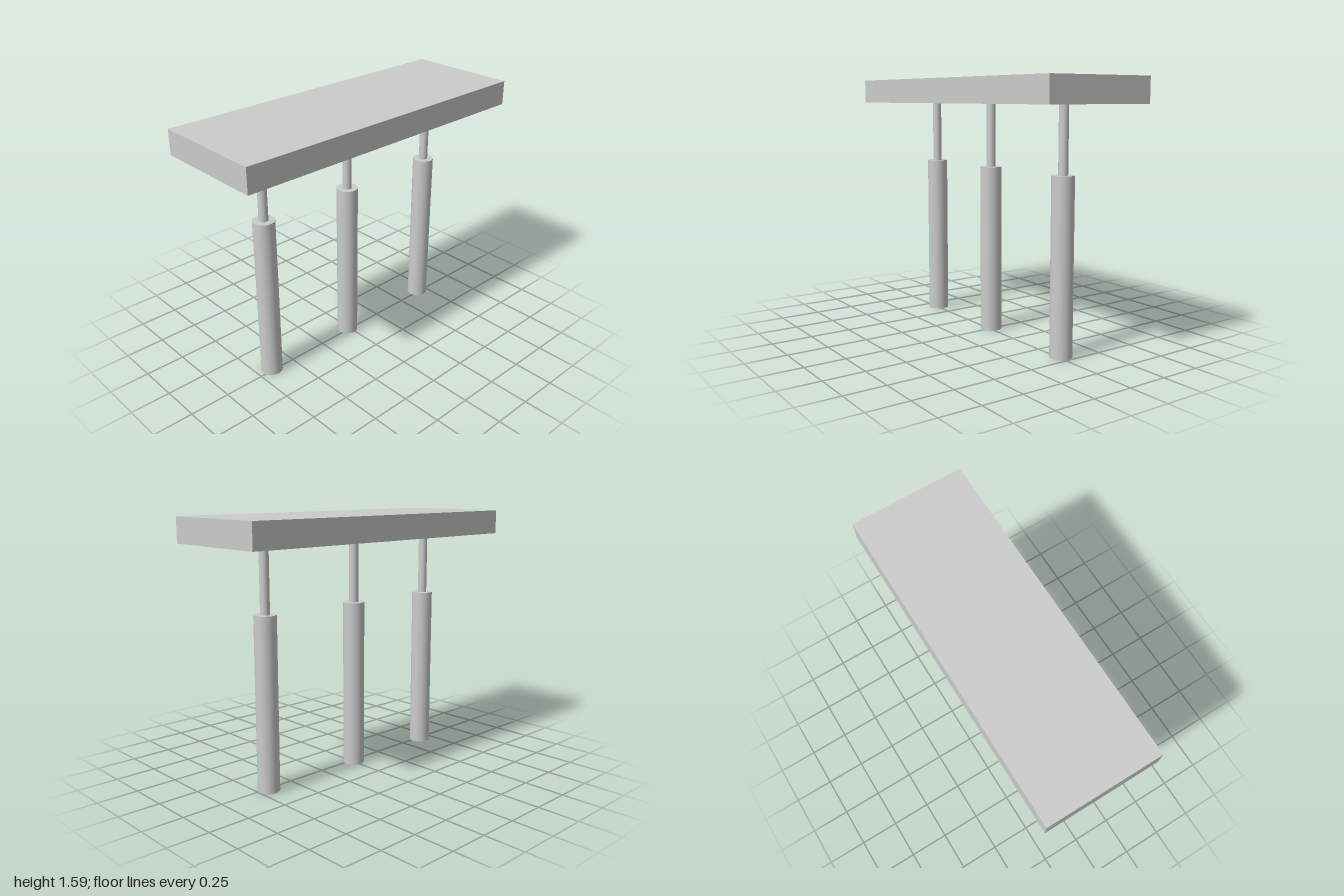
import * as THREE from 'three';

export function createModel() {
  const model = new THREE.Group();
  const material = new THREE.MeshStandardMaterial({ color: 0xcccccc });

  const add = (parent, name, geometry, y) => {
    const mesh = new THREE.Mesh(geometry, material);
    mesh.name = name;
    mesh.position.y = y;
    parent.add(mesh);
  };

  const columnTop = 1.044, slabBottom = 1.437, slabTop = 1.587;

  // Flat slab on top
  add(model, 'slab', new THREE.BoxGeometry(0.7, slabTop - slabBottom, 2), (slabBottom + slabTop) / 2);

  // Row of three supports: a thick column with a thin rod up to the slab
  const rodLength = slabBottom - columnTop;
  const column = new THREE.CylinderGeometry(0.066, 0.066, columnTop, 48);
  const rod = new THREE.CylinderGeometry(0.028, 0.028, rodLength, 48);
  [['frontSupport', 0.651], ['middleSupport', 0.009], ['backSupport', -0.681]].forEach(([name, z]) => {
    const support = new THREE.Group();
    support.name = name;
    support.position.set(-0.018, 0, z);
    add(support, 'column', column, columnTop / 2);
    add(support, 'rod', rod, columnTop + rodLength / 2);
    model.add(support);
  });

  return model;
}
